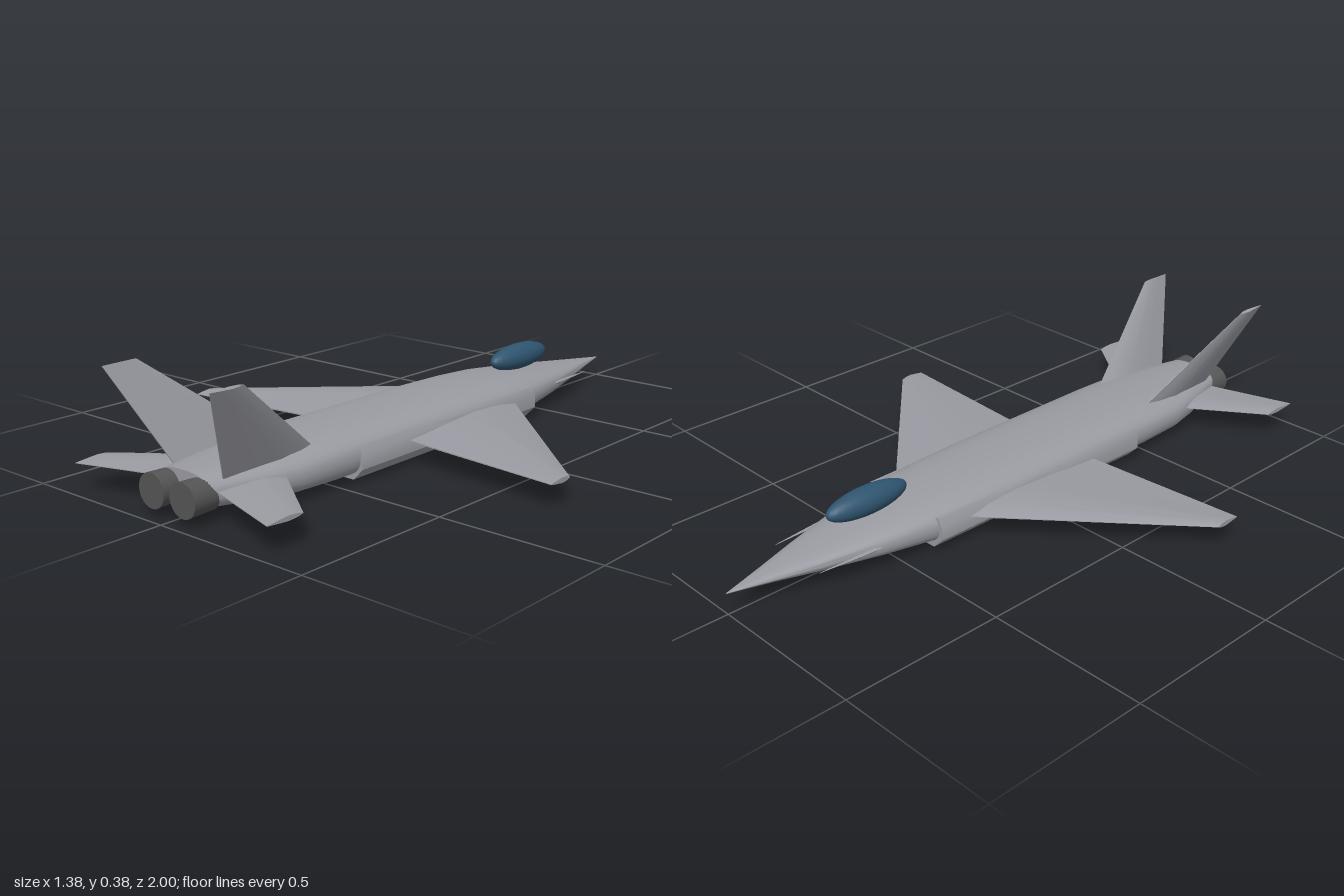
import * as THREE from 'three';
import { toCreasedNormals } from 'three/addons/utils/BufferGeometryUtils.js';

// Skin closed rings of [x, y, z] points and cap both ends
function loft(rings, crease = 0.7) {
  const n = rings[0].length, pos = [], idx = [];
  const last = (rings.length - 1) * n;
  rings.forEach(r => r.forEach(p => pos.push(...p)));
  for (let i = 0; i < rings.length - 1; i++) {
    for (let j = 0; j < n; j++) {
      const a = i * n + j, b = i * n + (j + 1) % n;
      idx.push(a, b, a + n, b, b + n, a + n);
    }
  }
  for (let j = 1; j < n - 1; j++) {
    idx.push(0, j + 1, j, last, last + j, last + j + 1);
  }
  const geo = new THREE.BufferGeometry();
  geo.setAttribute('position', new THREE.Float32BufferAttribute(pos, 3));
  geo.setIndex(idx);
  return toCreasedNormals(geo, crease);
}

// Mirror rings across x, reversing the loops so faces still point outward
const mirror = (rings, side) => side > 0 ? rings
  : rings.map(r => r.map(([x, y, z]) => [-x, y, z]).reverse());

// Aerofoil ring from leading to trailing edge; up is the half-thickness vector
const FOIL = [[1, -0.12], [0.7, -0.6], [0.4, -1], [0.15, -0.7], [0, -0.08],
  [0, 0.08], [0.15, 0.7], [0.4, 1], [0.7, 0.6], [1, 0.12]];
const foil = (le, te, up) => FOIL.map(([f, k]) =>
  le.map((v, i) => v + (te[i] - v) * f + up[i] * k));

// Rounded fuselage cross-section
function hullRing([z, w, y0, y1], n = 36) {
  const ring = [], e = 2 / 2.6;
  for (let j = 0; j < n; j++) {
    const a = j / n * Math.PI * 2, c = Math.cos(a), s = Math.sin(a);
    ring.push([
      w * Math.sign(c) * Math.abs(c) ** e,
      (y0 + y1) / 2 + (y1 - y0) / 2 * Math.sign(s) * Math.abs(s) ** e,
      z]);
  }
  return ring;
}

export function createModel() {
  const model = new THREE.Group();
  model.name = 'jetAircraft';
  const material = (name, color) => {
    const m = new THREE.MeshStandardMaterial({ color });
    m.name = name;
    return m;
  };
  const grey = material('hullGrey', 0x9a9ba2);
  const dark = material('nozzleGrey', 0x555555);
  const blue = material('canopyBlue', 0x2f5570);
  const add = (name, geo, mat) => {
    const mesh = new THREE.Mesh(geo, mat);
    mesh.name = name;
    model.add(mesh);
    return mesh;
  };

  // Fuselage stations: z, half width, bottom, top
  add('fuselage', loft([
    [-1, 0.001, 0.069, 0.071], [-0.87, 0.037, 0.058, 0.085],
    [-0.74, 0.075, 0.045, 0.099], [-0.56, 0.12, 0.026, 0.12],
    [-0.39, 0.153, 0.011, 0.136], [-0.25, 0.162, 0.006, 0.143],
    [-0.05, 0.166, 0.005, 0.147], [0.5, 0.168, 0.006, 0.147],
    [0.65, 0.165, 0.011, 0.143], [0.74, 0.148, 0.017, 0.14],
    [0.92, 0.1, 0.035, 0.132],
  ].map(s => hullRing(s))), grey);

  // Canopy
  const canopy = add('canopy', new THREE.SphereGeometry(1, 32, 20), blue);
  canopy.scale.set(0.042, 0.042, 0.142);
  canopy.position.set(0, 0.163, -0.522);

  for (const side of [1, -1]) {
    const label = side > 0 ? 'left' : 'right';
    const part = (name, rings) =>
      add(label + name, loft(mirror(rings, side)), grey);

    // Swept main wing
    part('Wing', [
      foil([0.1, 0.08, -0.34], [0.1, 0.08, 0.225], [0, 0.019, 0]),
      foil([0.69, 0.075, 0.19], [0.69, 0.075, 0.275], [0, 0.008, 0]),
    ]);

    // Horizontal tail
    part('Tailplane', [
      foil([0.08, 0.088, 0.65], [0.08, 0.088, 0.89], [0, 0.013, 0]),
      foil([0.37, 0.087, 0.86], [0.37, 0.087, 0.982], [0, 0.007, 0]),
    ]);

    // Canted vertical fin
    part('Fin', [
      foil([0.095, 0.115, 0.535], [0.095, 0.115, 0.87], [-0.016, 0.006, 0]),
      foil([0.205, 0.386, 0.89], [0.205, 0.386, 1], [-0.006, 0.002, 0]),
    ]);

    // Faceted air intake along the flank
    const intake = (z, out) => [[0.08, 0.01], [0.13 + out, 0.01], [0.165 + out, 0.045],
      [0.165 + out, 0.085], [0.15 + out, 0.11], [0.08, 0.11]].map(([x, y]) => [x, y, z]);
    part('Intake', [intake(-0.39, 0), intake(0.435, 0.01)]);

    // Slender probe beside the nose
    const probe = (x, z, w, h) => [[x + w, 0.077, z], [x, 0.077 + h, z],
      [x - w, 0.077, z], [x, 0.077 - h, z]];
    part('NoseProbe', [
      probe(0.1, -0.77, 0.001, 0.001), probe(0.11, -0.62, 0.006, 0.006),
      probe(0.115, -0.52, 0.006, 0.007),
    ]);

    // Engine nozzle
    const nozzle = add(label + 'Nozzle',
      new THREE.CylinderGeometry(0.049, 0.046, 0.085, 32), dark);
    nozzle.rotation.x = Math.PI / 2;
    nozzle.position.set(side * 0.06, 0.077, 0.934);
  }
  return model;
}
